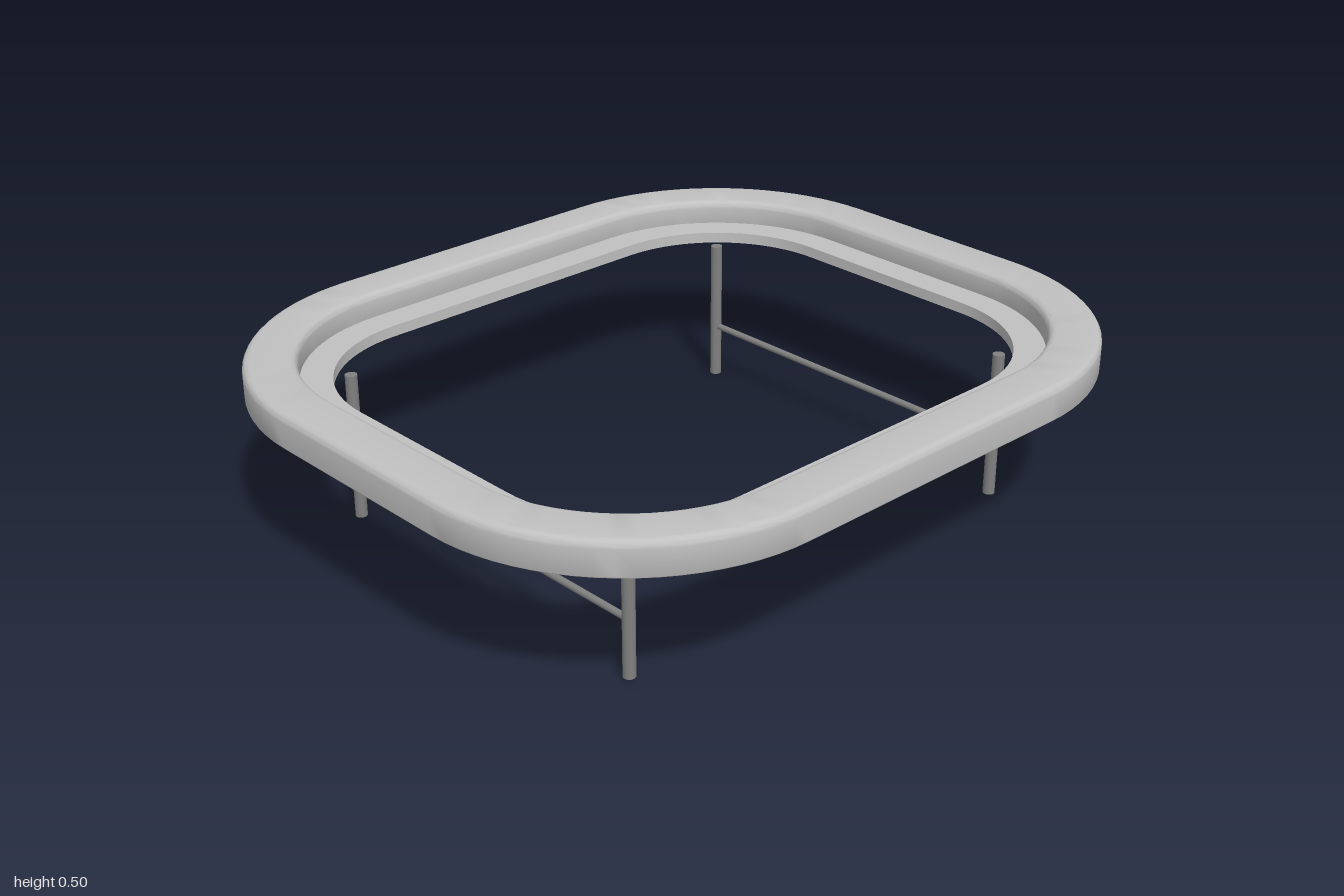
import * as THREE from 'three';
import { toCreasedNormals } from 'three/addons/utils/BufferGeometryUtils.js';

// Centres of the corner arcs shared by every ring
const CX = 0.28, CZ = 0.42;
const CORNER_STEPS = 20;

// Sweeps a closed profile of [corner radius, y] (counter-clockwise) round the rounded rectangle
function ringGeometry(profile) {
  const pos = [], index = [];
  const corners = [[1, 1], [-1, 1], [-1, -1], [1, -1]];
  corners.forEach(([sx, sz], q) => {
    for (let i = 0; i <= CORNER_STEPS; i++) {
      const a = (q + i / CORNER_STEPS) * Math.PI / 2;
      for (const [r, y] of profile) {
        pos.push(sx * CX + r * Math.cos(a), y, sz * CZ + r * Math.sin(a));
      }
    }
  });
  const n = profile.length, rows = corners.length * (CORNER_STEPS + 1);
  for (let j = 0; j < rows; j++) {
    for (let k = 0; k < n; k++) {
      const a = j * n + k, b = j * n + (k + 1) % n;
      const j2 = ((j + 1) % rows) * n;
      const c = j2 + (k + 1) % n, d = j2 + k;
      index.push(a, b, c, a, c, d);
    }
  }
  const g = new THREE.BufferGeometry();
  g.setAttribute('position', new THREE.Float32BufferAttribute(pos, 3));
  g.setIndex(index);
  return toCreasedNormals(g, 0.6);
}

// Rectangular profile with rounded corners; separate radii for bottom and top
function profileBox(r0, r1, y0, y1, bottom = 0, top = 0) {
  const pts = [];
  const corner = (r, y, rad, start) => {
    if (!rad) { pts.push([r, y]); return; }
    for (let i = 0; i <= 5; i++) {
      const a = start + i / 5 * Math.PI / 2;
      pts.push([r + rad * Math.cos(a), y + rad * Math.sin(a)]);
    }
  };
  corner(r0 + bottom, y0 + bottom, bottom, Math.PI);
  corner(r1 - bottom, y0 + bottom, bottom, Math.PI * 1.5);
  corner(r1 - top, y1 - top, top, 0);
  corner(r0 + top, y1 - top, top, Math.PI / 2);
  return pts;
}

export function createModel() {
  const model = new THREE.Group();
  const frameGrey = new THREE.MeshStandardMaterial({ color: 0xc0c0c0 });
  frameGrey.name = 'light grey';
  const legGrey = new THREE.MeshStandardMaterial({ color: 0x808080 });
  legGrey.name = 'dark grey metal';

  const add = (name, geometry, material, x = 0, y = 0, z = 0) => {
    const mesh = new THREE.Mesh(geometry, material);
    mesh.name = name;
    mesh.position.set(x, y, z);
    model.add(mesh);
    return mesh;
  };

  // Raised rim, inner ledge and the band under them
  add('rim', ringGeometry(profileBox(0.445, 0.58, 0.405, 0.495, 0.005, 0.02)), frameGrey);
  add('ledge', ringGeometry(profileBox(0.362, 0.46, 0.4, 0.43)), frameGrey);
  add('underBand', ringGeometry(profileBox(0.445, 0.49, 0.375, 0.41)), frameGrey);

  // Two leg frames: a pair of round legs joined by a thin crossbar
  const legGeometry = new THREE.CylinderGeometry(0.016, 0.016, 0.403, 24);
  const barGeometry = new THREE.CylinderGeometry(0.009, 0.009, 1.04, 16);
  for (const [end, z] of [['front', 0.643], ['back', -0.643]]) {
    add(end + 'LegLeft', legGeometry, legGrey, 0.52, 0.2015, z);
    add(end + 'LegRight', legGeometry, legGrey, -0.52, 0.2015, z);
    add(end + 'Crossbar', barGeometry, legGrey, 0, 0.152, z).rotation.z = Math.PI / 2;
  }
  return model;
}
